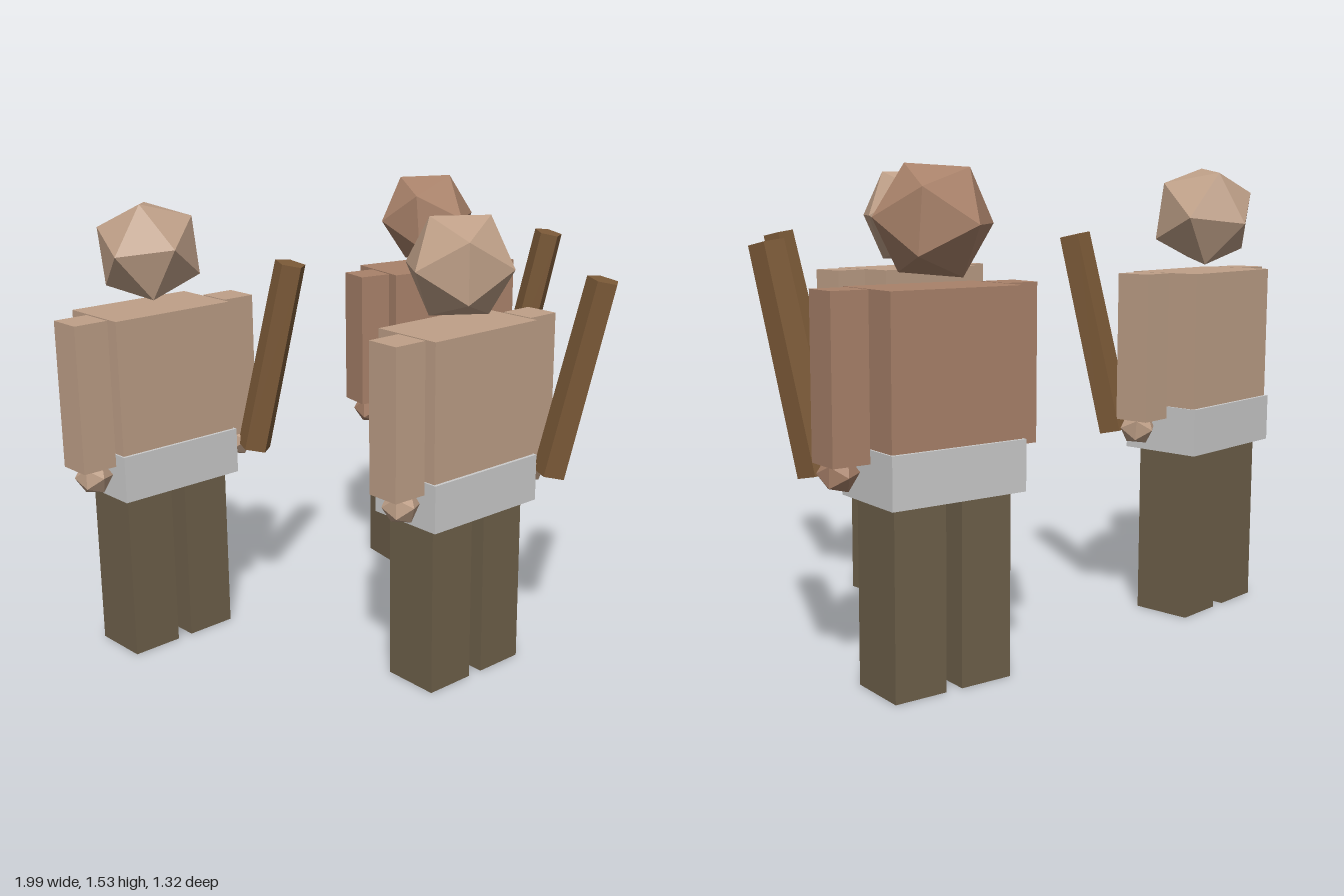
import * as THREE from 'three';

const V = (x, y, z) => new THREE.Vector3(x, y, z);
const material = (color) => new THREE.MeshStandardMaterial({ color, flatShading: true });
const cloth = material(0xcccccc);
const trousers = material(0x6e604a);
const wood = material(0x7c5a38);
const paleSkin = material(0xbfa088);
const tanSkin = material(0xa9826a);

function add(parent, name, geometry, mat, position) {
  const mesh = new THREE.Mesh(geometry, mat);
  mesh.name = name;
  mesh.position.copy(position);
  parent.add(mesh);
  return mesh;
}

function box(parent, name, mat, [w, h, d], [x, bottom, z]) {
  return add(parent, name, new THREE.BoxGeometry(w, h, d), mat, V(x, bottom + h / 2, z));
}

// Faceted ball turned so that two neighbouring corners point along a and b
function facetedBall(radius, a, b) {
  const p = V(...a).normalize(), q = V(...b).normalize();
  const up = p.clone().add(q).normalize();
  const across = q.clone().sub(p);
  across.addScaledVector(up, -across.dot(up)).normalize();
  const basis = new THREE.Matrix4().makeBasis(across, up, across.clone().cross(up));
  return new THREE.IcosahedronGeometry(radius, 0).applyMatrix4(basis);
}

function createFigure({ name, x, z, turn, skin, headCorners }) {
  const figure = new THREE.Group();
  figure.name = name;

  // Body
  box(figure, 'torso', skin, [0.45, 0.58, 0.255], [0, 0.6, 0]);
  box(figure, 'loincloth', cloth, [0.462, 0.157, 0.277], [0, 0.573, 0]);

  // Paired limbs
  for (const [side, s] of [['left', 1], ['right', -1]]) {
    box(figure, side + 'Leg', trousers, [0.175, 0.58, 0.2], [s * 0.115, 0, 0]);
    box(figure, side + 'Arm', skin, [0.12, 0.49, 0.12], [s * 0.294, 0.69, 0.033]);
    add(figure, side + 'Hand', facetedBall(0.062, [0, 0.1, 1], [0.9, 0, 0.45]), skin,
      V(s * 0.294, 0.66, 0.05));
  }

  // Club leaning forward and outward from the left hand
  const foot = V(0.314, 0.645, 0.131), tip = V(0.4, 1.305, 0.25);
  const axis = tip.clone().sub(foot);
  const club = add(figure, 'club', new THREE.CylinderGeometry(0.055, 0.06, axis.length(), 5),
    wood, foot.clone().add(tip).multiplyScalar(0.5));
  club.quaternion.setFromUnitVectors(V(0, 1, 0), axis.normalize());

  figure.position.set(x, 0, z);
  figure.rotation.y = turn;

  // Head, each one tipped its own way (corners given in world directions)
  const head = add(figure, 'head', facetedBall(0.183, ...headCorners), skin, V(0, 1.366, 0));
  head.rotation.y = -turn;
  return figure;
}

export function createModel() {
  const model = new THREE.Group();
  model.name = 'clubBearers';
  model.add(
    createFigure({
      name: 'frontFigure', x: -0.034, z: 0.368, turn: 0.05, skin: paleSkin,
      headCorners: [[1, 0, 0], [0.447, 0, 0.894]],
    }),
    createFigure({
      name: 'rearRightFigure', x: -0.641, z: -0.49, turn: 0.087, skin: paleSkin,
      headCorners: [[-0.09, 0.13, 0.98], [-0.88, 0.03, 0.47]],
    }),
    createFigure({
      name: 'rearLeftFigure', x: 0.575, z: -0.487, turn: -0.118, skin: tanSkin,
      headCorners: [[0.08, 0.06, 0.98], [0.9, 0.05, 0.37]],
    }),
  );
  return model;
}
